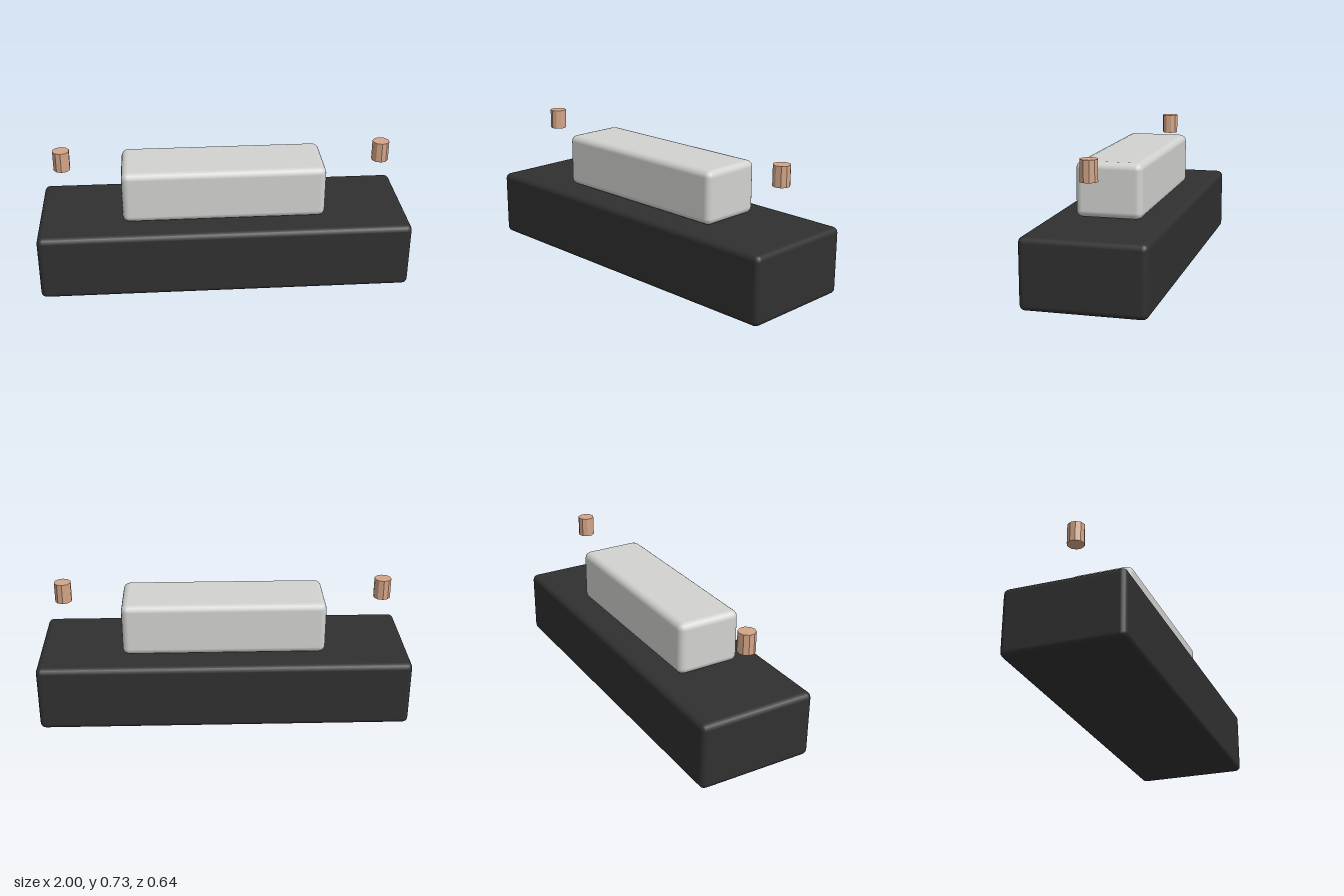
import * as THREE from 'three';
import { RoundedBoxGeometry } from 'three/addons/geometries/RoundedBoxGeometry.js';

function material(name, color, flatShading = false) {
  const m = new THREE.MeshStandardMaterial({ color, flatShading });
  m.name = name;
  return m;
}

export function createModel() {
  const group = new THREE.Group();
  group.name = 'model';
  const black = material('charcoal', 0x303030);
  const grey = material('lightGrey', 0xd2d2d0);
  const copper = material('copper', 0xd4a587, true);

  const add = (name, geometry, mat, x, y) => {
    const mesh = new THREE.Mesh(geometry, mat);
    mesh.name = name;
    mesh.position.set(x, y, 0);
    group.add(mesh);
  };

  // Long rounded base
  add('base', new RoundedBoxGeometry(2, 0.364, 0.637, 2, 0.03), black, 0, 0.182);

  // Smaller rounded block resting just above the base
  add('upperBlock', new RoundedBoxGeometry(1.094, 0.288, 0.35, 2, 0.036), grey, 0, 0.511);

  // Pair of ten-sided pins floating over the ends
  const pin = new THREE.CylinderGeometry(0.0455, 0.0455, 0.109, 10);
  for (const side of [1, -1]) {
    add(side > 0 ? 'leftPin' : 'rightPin', pin, copper, side * 0.864, 0.674);
  }

  return group;
}
